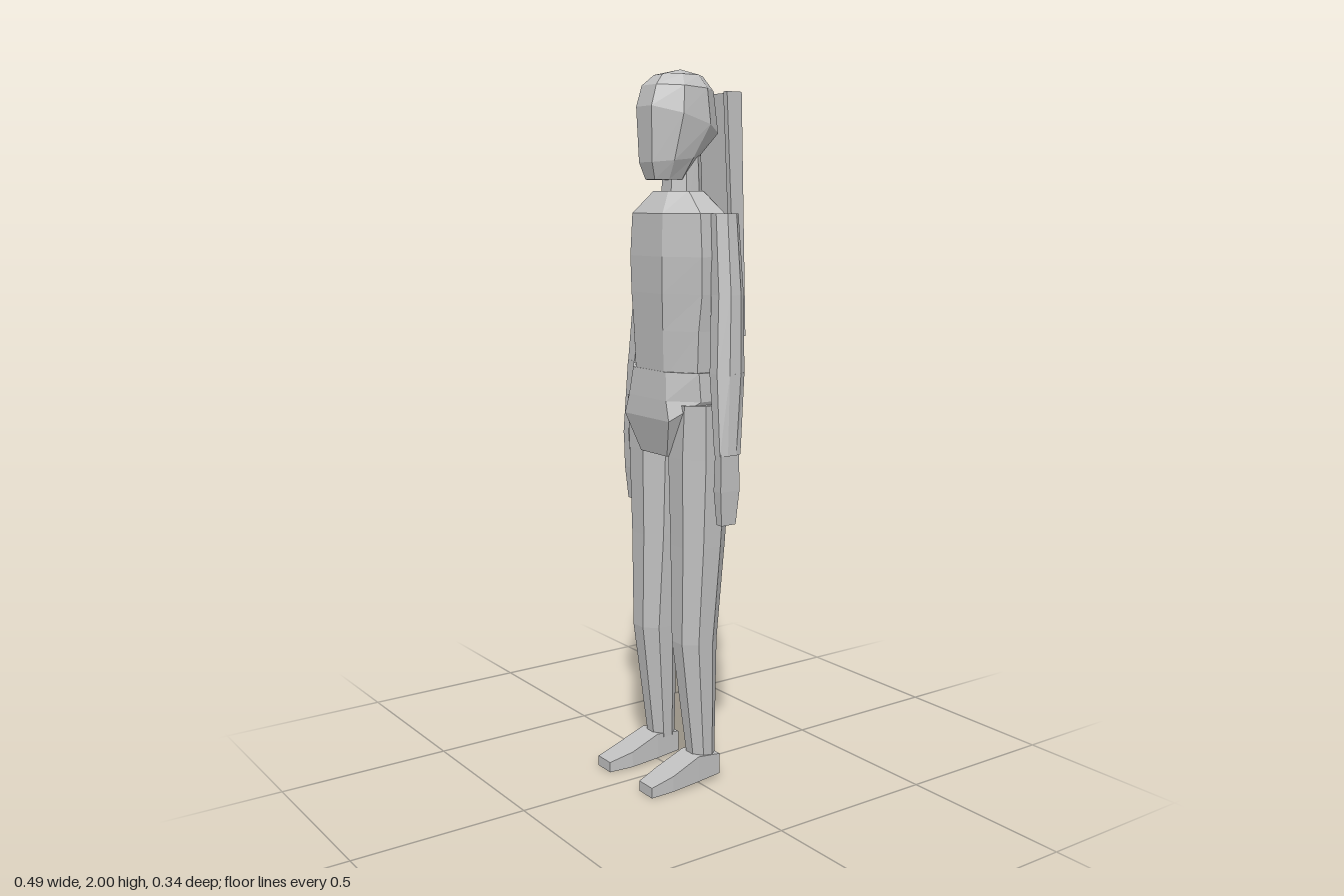
import * as THREE from 'three';

const grey = new THREE.MeshStandardMaterial({ color: 0xc0c0c0, flatShading: true });
grey.name = 'grey';

// Skin a stack of equal-length point rings and close both ends with fans.
function loft(name, rings, topPeak) {
  const pos = [];
  const tri = (...pts) => pts.forEach((p) => pos.push(...p));
  const centre = (r) => [0, 1, 2].map((k) => r.reduce((s, p) => s + p[k], 0) / r.length);
  const n = rings[0].length;
  const first = rings[0], last = rings[rings.length - 1];
  const c0 = centre(first), c1 = topPeak || centre(last);
  for (let j = 0; j < n; j++) {
    const k = (j + 1) % n;
    for (let i = 0; i < rings.length - 1; i++) {
      const a = rings[i], b = rings[i + 1];
      tri(a[j], a[k], b[k]);
      tri(a[j], b[k], b[j]);
    }
    tri(c0, first[k], first[j]);
    tri(c1, last[j], last[k]);
  }
  const geo = new THREE.BufferGeometry();
  geo.setAttribute('position', new THREE.Float32BufferAttribute(pos, 3));
  geo.computeVertexNormals();
  const mesh = new THREE.Mesh(geo, grey);
  mesh.name = name;
  return mesh;
}

// Eight-sided horizontal ring; tilt raises the ring with z.
function oct(y, cx, w, zf, zb, f = 0.45, tilt = 0, b = f) {
  const m = (zf + zb) / 2, s = (zf - zb) * 0.2;
  return [[f, zf], [1, m + s], [1, m - s], [b, zb], [-b, zb], [-1, m - s], [-1, m + s], [-f, zf]]
    .map(([x, z]) => [cx + x * w, y + tilt * z, z]);
}

// Horizontal rectangle ring.
const rect = (y, x0, x1, zf, zb) => [[x1, y, zf], [x1, y, zb], [x0, y, zb], [x0, y, zf]];
// Upright rectangle ring facing +z.
const slice = (z, x0, x1, y0, y1) => [[x0, y0, z], [x1, y0, z], [x1, y1, z], [x0, y1, z]];
const mirror = (rings) => rings.map((r) => r.map(([x, y, z]) => [-x, y, z]).reverse());

export function createModel() {
  const model = new THREE.Group();
  model.name = 'figure';

  // Head: narrow jaw, tilted brow ring, faceted crown
  model.add(loft('head', [
    oct(1.705, 0, 0.045, 0.075, -0.03, 0.5),
    oct(1.76, 0, 0.07, 0.09, -0.065, 0.45, -0.1),
    oct(1.87, 0, 0.092, 0.095, -0.127, 0.4, 0.3),
    oct(1.95, 0, 0.084, 0.078, -0.112, 0.42, 0.06),
    oct(1.983, 0, 0.057, 0.048, -0.086, 0.36),
  ], [0, 2, -0.025]));
  model.add(loft('neck', [
    oct(1.62, 0, 0.055, 0.025, -0.085), oct(1.79, 0, 0.045, 0.015, -0.08),
  ]));

  // Torso from waist to collar
  model.add(loft('torso', [
    oct(1.17, 0, 0.15, 0.078, -0.1),
    oct(1.3, 0, 0.157, 0.083, -0.108),
    oct(1.4, 0, 0.166, 0.088, -0.135),
    oct(1.5, 0, 0.17, 0.09, -0.128),
    oct(1.615, 0, 0.162, 0.085, -0.117),
    oct(1.675, 0, 0.08, 0.04, -0.08),
  ]));
  model.add(loft('pelvis', [
    oct(0.95, 0, 0.08, 0.065, -0.1, 0.8),
    oct(1.055, 0, 0.135, 0.09, -0.122, 0.8),
    oct(1.11, 0, 0.165, 0.087, -0.127, 0.55),
    oct(1.188, 0, 0.16, 0.08, -0.1, 0.5),
  ]));

  // Limbs, built for the left and mirrored
  const limbs = {
    UpperArm: [
      oct(1.18, 0.2, 0.037, 0.008, -0.085),
      oct(1.4, 0.187, 0.038, -0.006, -0.09),
      oct(1.615, 0.168, 0.038, -0.01, -0.085),
    ],
    Forearm: [
      oct(0.97, 0.224, 0.021, 0.012, -0.058, 0.6),
      oct(1.19, 0.2, 0.037, 0.008, -0.085),
    ],
    Hand: [
      rect(0.775, 0.207, 0.23, 0, -0.048),
      rect(0.87, 0.204, 0.236, 0.008, -0.056),
      rect(0.975, 0.212, 0.238, 0.01, -0.052),
    ],
    Leg: [
      oct(0.07, 0.1, 0.036, 0.01, -0.065),
      oct(0.42, 0.098, 0.055, 0.055, -0.066),
      oct(0.7, 0.097, 0.067, 0.055, -0.09),
      oct(0.95, 0.097, 0.075, 0.06, -0.107),
      oct(1.1, 0.11, 0.066, 0.06, -0.09),
    ],
    Foot: [
      slice(-0.068, 0.068, 0.138, 0.015, 0.075),
      slice(0.01, 0.063, 0.143, 0.01, 0.085),
      slice(0.1, 0.063, 0.146, 0.004, 0.05),
      slice(0.17, 0.077, 0.14, 0, 0.03),
    ],
  };
  for (const [part, rings] of Object.entries(limbs)) {
    model.add(loft('left' + part, rings));
    model.add(loft('right' + part, mirror(rings)));
  }

  // Long back panel with side flanges, leaning outwards at the bottom
  model.add(loft('backPanel', [
    rect(1.275, -0.105, 0.105, -0.143, -0.175), rect(1.94, -0.105, 0.105, -0.14, -0.155),
  ]));
  const flange = [
    rect(1.275, 0.088, 0.105, -0.14, -0.165), rect(1.94, 0.088, 0.105, -0.105, -0.15),
  ];
  model.add(loft('leftFlange', flange), loft('rightFlange', mirror(flange)));

  return model;
}
